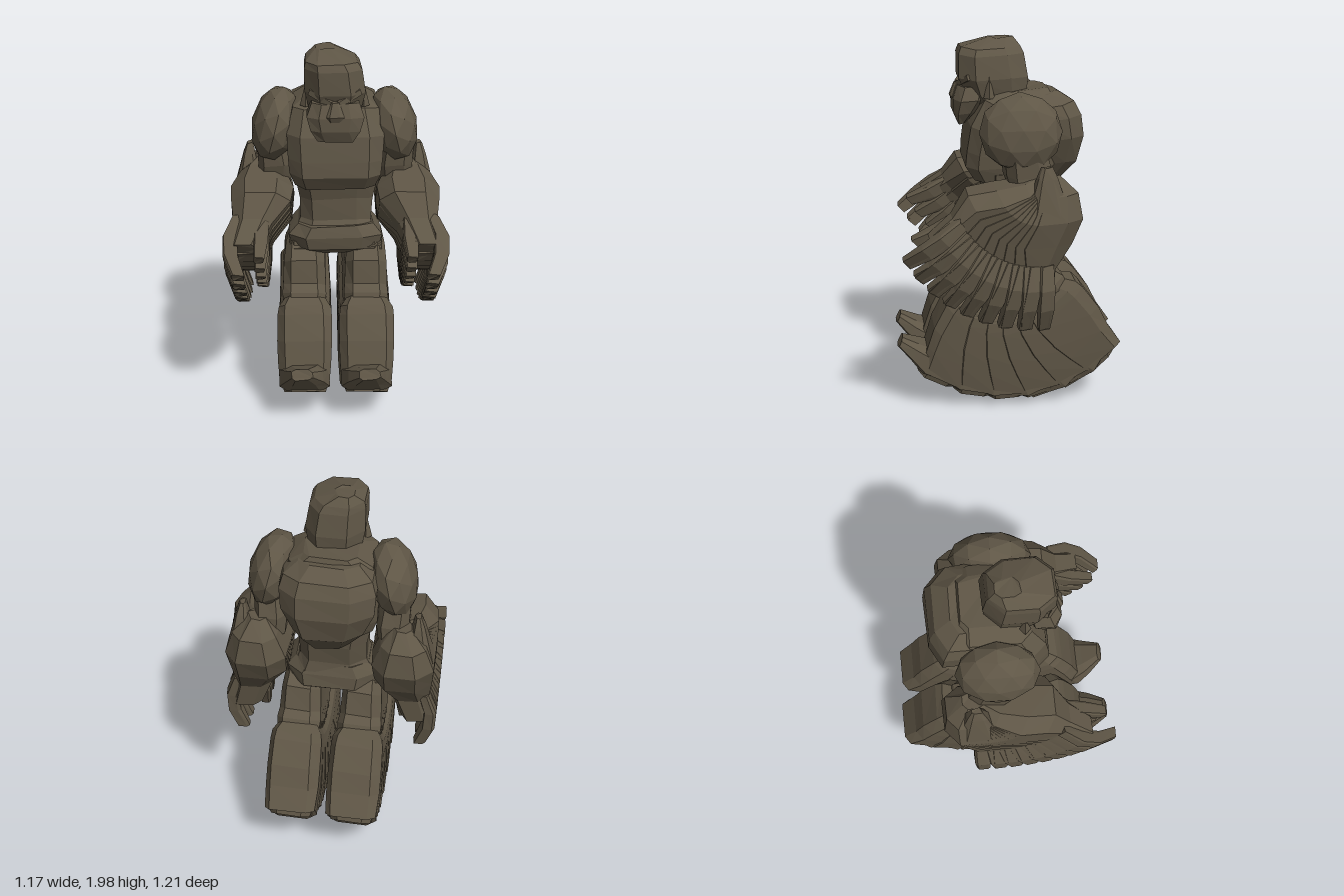
import * as THREE from 'three';

const stone = new THREE.MeshStandardMaterial({ color: 0x5f5646, flatShading: true });
stone.name = 'brown stone';

// Chipped block built from chamfered rings; each section is [y, x, z, halfX, halfZ], listed downwards.
function loft(sections, chamfer = 0.45, rough = 0.008) {
  const c = 1 - chamfer;
  const ring = [[1, c], [c, 1], [-c, 1], [-1, c], [-1, -c], [-c, -1], [c, -1], [1, -c]];
  const n = ring.length, pos = [], idx = [];
  const chip = (k) => rough * Math.sin(k * 12.9898 + 1.3) * Math.cos(k * 4.37);
  sections.forEach(([y, x, z, hx, hz], i) => ring.forEach(([a, b], j) => {
    const k = i * n + j;
    pos.push(x + a * hx + chip(k), y + chip(k + 0.5), z + b * hz + chip(k + 0.25));
  }));
  for (let i = 0; i < sections.length - 1; i++) for (let j = 0; j < n; j++) {
    const a = i * n + j, b = i * n + (j + 1) % n;
    idx.push(a, b, a + n, b, b + n, a + n);
  }
  // End caps
  const last = (sections.length - 1) * n;
  for (let j = 1; j < n - 1; j++) idx.push(0, j + 1, j, last, last + j, last + j + 1);
  const g = new THREE.BufferGeometry();
  g.setAttribute('position', new THREE.Float32BufferAttribute(pos, 3));
  g.setIndex(idx);
  const flat = g.toNonIndexed();
  flat.computeVertexNormals();
  return flat;
}

function add(parent, name, geometry) {
  const m = new THREE.Mesh(geometry, stone);
  m.name = name;
  parent.add(m);
  return m;
}

// Shift section centres sideways for the left (+1) or right (-1) side
const side = (s, rows) => rows.map(([y, x, z, a, b]) => [y, s * x, z, a, b]);

function legPose(s, pitch) {
  const g = new THREE.Group();
  add(g, 'thigh', loft([
    [0.12, 0, 0, 0.08, 0.1], [0.02, 0, 0, 0.1, 0.14], [-0.09, 0, 0, 0.11, 0.175],
    [-0.21, 0, 0, 0.115, 0.13], [-0.26, 0, 0, 0.12, 0.15], [-0.36, 0, 0, 0.11, 0.13],
  ], 0.4, 0.006));
  add(g, 'shin', loft([
    [-0.27, 0, 0, 0.1, 0.13], [-0.33, 0, 0, 0.138, 0.18], [-0.38, 0, 0, 0.144, 0.187],
    [-0.52, 0, 0, 0.146, 0.18], [-0.63, 0, 0, 0.144, 0.155], [-0.76, 0, -0.01, 0.135, 0.135],
  ], 0.3, 0.008));
  add(g, 'heel', loft([[-0.72, 0, 0.01, 0.13, 0.13], [-0.79, 0, 0.02, 0.11, 0.11]], 0.4, 0.004));
  // Foot runs along z: here y becomes z and z becomes -y, measured from the ankle
  const foot = loft([
    [0.285, s * 0.01, 0.045, 0.055, 0.028], [0.19, 0, 0.055, 0.1, 0.05],
    [0.1, 0, 0.065, 0.135, 0.075], [-0.08, 0, 0.05, 0.13, 0.07],
  ], 0.4, 0.004);
  foot.rotateX(Math.PI / 2 + pitch);
  add(g, 'foot', foot).position.y = -0.65;
  return g;
}

function armPose(s) {
  const g = new THREE.Group();
  add(g, 'forearm', loft(side(s, [
    [0, 0.38, -0.06, 0.05, 0.05], [-0.08, 0.39, -0.09, 0.12, 0.11], [-0.21, 0.39, -0.07, 0.165, 0.155],
    [-0.34, 0.39, -0.015, 0.155, 0.16], [-0.47, 0.43, 0, 0.1, 0.095], [-0.62, 0.475, 0, 0.085, 0.085],
  ]), 0.5));
  for (const z of [-0.048, 0.045]) {
    add(g, 'finger', loft(side(s, [
      [-0.44, 0.505, z, 0.03, 0.035], [-0.56, 0.545, z, 0.036, 0.04],
      [-0.67, 0.54, z, 0.036, 0.038], [-0.79, 0.495, z, 0.032, 0.028],
    ]), 0.3, 0.006));
  }
  add(g, 'thumb', loft(side(s, [
    [-0.42, 0.39, 0.02, 0.04, 0.06], [-0.58, 0.385, 0.045, 0.036, 0.045], [-0.71, 0.39, 0.08, 0.026, 0.028],
  ]), 0.3, 0.004));
  return g;
}

export function createModel() {
  const model = new THREE.Group();
  model.name = 'stone giant';

  // Trunk
  const trunk = new THREE.Group();
  trunk.name = 'trunk';
  model.add(trunk);
  add(trunk, 'chest', loft([
    [1.74, 0, -0.09, 0.14, 0.12], [1.69, 0, -0.05, 0.22, 0.18], [1.56, 0, -0.03, 0.25, 0.235],
    [1.43, 0, -0.01, 0.245, 0.235], [1.35, 0, 0, 0.24, 0.23], [1.27, 0, -0.01, 0.215, 0.19],
  ], 0.3, 0.01));
  add(trunk, 'back', loft([
    [1.72, 0, -0.17, 0.16, 0.09], [1.67, 0, -0.21, 0.23, 0.13], [1.6, 0, -0.23, 0.25, 0.145],
    [1.49, 0, -0.24, 0.24, 0.15], [1.35, 0, -0.22, 0.18, 0.14], [1.22, 0, -0.16, 0.1, 0.09],
  ], 0.45, 0.012));
  add(trunk, 'waist', loft([
    [1.32, 0, -0.02, 0.22, 0.17], [1.18, 0, -0.03, 0.19, 0.15], [1.06, 0, -0.02, 0.185, 0.14],
    [1.0, 0, -0.01, 0.21, 0.16],
  ], 0.4, 0.014));
  add(trunk, 'pelvis', loft([
    [1.04, 0, 0, 0.2, 0.16], [0.98, 0, 0, 0.25, 0.18], [0.91, 0, -0.01, 0.23, 0.18],
    [0.87, 0, -0.01, 0.08, 0.13],
  ], 0.4));

  // Head
  const head = new THREE.Group();
  head.name = 'head';
  model.add(head);
  add(head, 'skull', loft([
    [1.996, -0.05, 0.02, 0.05, 0.06], [1.955, -0.02, 0.085, 0.13, 0.155], [1.92, -0.01, 0.085, 0.145, 0.17],
    [1.8, 0, 0.075, 0.155, 0.18], [1.72, 0, 0.06, 0.14, 0.16], [1.6, 0, 0, 0.12, 0.12],
  ], 0.5, 0.006));
  add(head, 'jaw', loft([
    [1.76, 0, 0.18, 0.12, 0.08], [1.69, 0, 0.2, 0.145, 0.085], [1.62, 0, 0.225, 0.125, 0.06],
    [1.56, 0, 0.24, 0.09, 0.02],
  ], 0.45, 0.004));
  add(head, 'nose', loft([[1.77, 0, 0.25, 0.02, 0.02], [1.7, 0, 0.265, 0.045, 0.032], [1.66, 0, 0.26, 0.03, 0.02]], 0.4, 0.002));
  for (const s of [1, -1]) {
    const brow = add(head, 'brow', new THREE.BoxGeometry(0.13, 0.03, 0.04));
    brow.position.set(s * 0.07, 1.785, 0.22);
    brow.rotation.set(0, s * 0.45, s * 0.4);
    const ear = add(head, 'ear', new THREE.ConeGeometry(0.03, 0.12, 4));
    ear.position.set(s * 0.15, 1.765, 0.1);
  }

  for (const s of [1, -1]) {
    const word = s > 0 ? 'left' : 'right';

    // Shoulder and upper arm
    const shoulder = add(model, word + ' shoulder', new THREE.IcosahedronGeometry(1, 1));
    shoulder.scale.set(0.125, 0.205, 0.215);
    shoulder.position.set(s * 0.315, 1.56, -0.045);
    shoulder.rotation.z = s * 0.25;
    add(model, word + ' upper arm', loft(side(s, [
      [1.45, 0.33, -0.06, 0.085, 0.11], [1.34, 0.32, -0.08, 0.09, 0.12], [1.22, 0.33, -0.1, 0.085, 0.1],
    ])));
    add(model, word + ' elbow spike', loft(side(s, [
      [1.41, 0.46, -0.16, 0.015, 0.025], [1.35, 0.465, -0.16, 0.032, 0.05], [1.15, 0.47, -0.16, 0.08, 0.11],
    ]), 0.4, 0.005));

    // Forearms fanned forward from the elbow
    const arms = new THREE.Group();
    arms.name = word + ' arm fan';
    model.add(arms);
    for (let i = 0; i < 8; i++) {
      const pose = armPose(s);
      pose.name = 'arm';
      pose.position.set(0, 1.35, -0.12);
      pose.rotation.x = -THREE.MathUtils.degToRad(2 + i * 7.7);
      arms.add(pose);
    }

    // Legs fanned from back to front about the hip; trailing feet point their toes down
    const legs = new THREE.Group();
    legs.name = word + ' leg fan';
    model.add(legs);
    for (const angle of [-40, -27, -13, 0, 14, 30]) {
      const pose = legPose(s, angle < -20 ? 0.28 : angle < 0 ? 0.12 : 0);
      pose.name = 'leg pose';
      pose.position.set(s * 0.167, 0.85, 0);
      pose.rotation.x = -THREE.MathUtils.degToRad(angle);
      legs.add(pose);
    }
  }
  return model;
}
